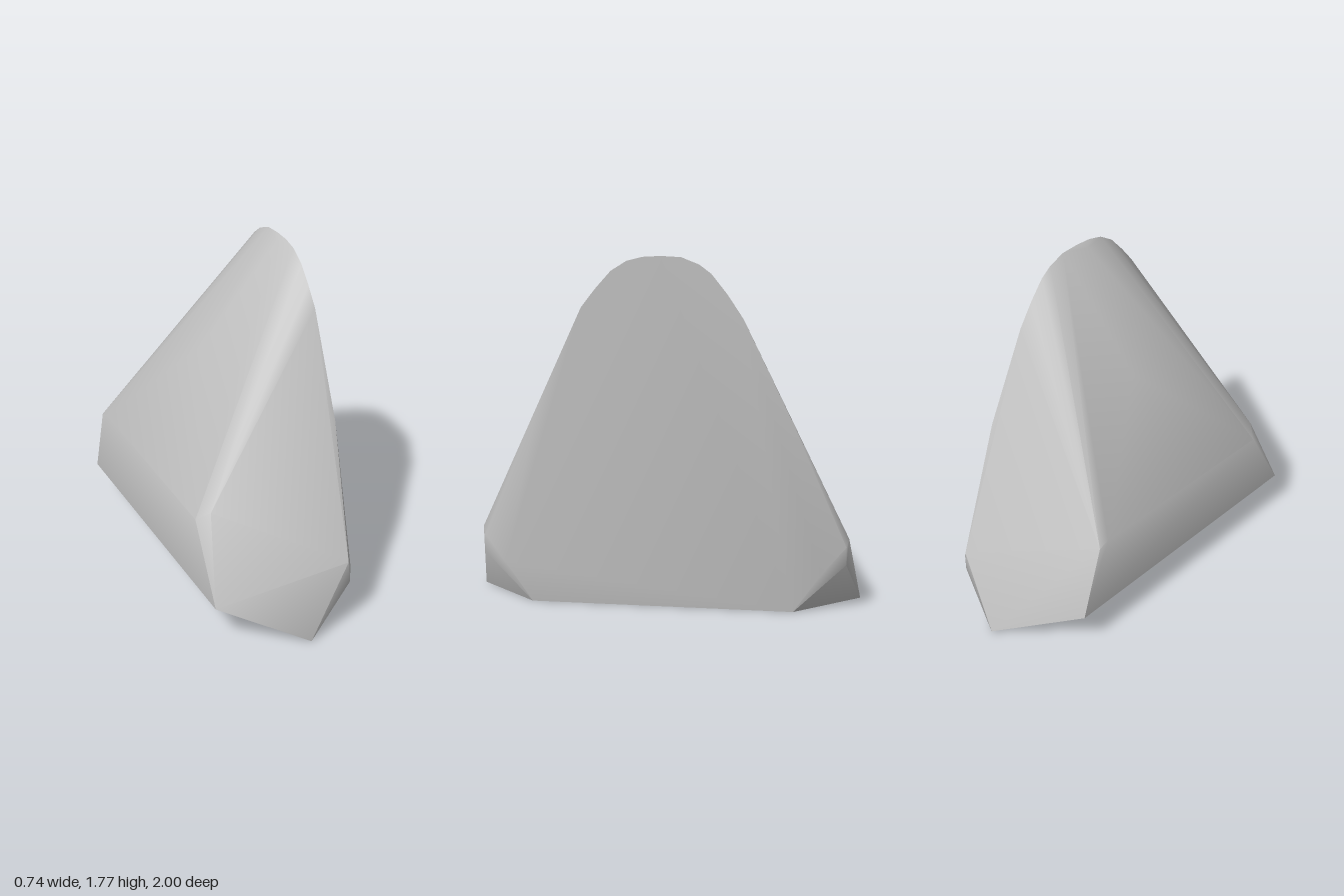
import * as THREE from 'three';
import { toCreasedNormals } from 'three/addons/utils/BufferGeometryUtils.js';
import { ConvexGeometry } from 'three/addons/geometries/ConvexGeometry.js';

export function createModel() {
  const stone = new THREE.MeshStandardMaterial({ color: 0xc0c0c0 });
  const points = [];
  const add = (x, y, z) => points.push(new THREE.Vector3(x, y, z));

  // Arched outline of the flat right-hand face, as [z, y]
  const arch = [
    [0.64, 1.0], [0.4, 1.52], [0.33, 1.61], [0.25, 1.7], [0.17, 1.75], [0.09, 1.77], [0, 1.775],
    [-0.1, 1.77], [-0.19, 1.735], [-0.25, 1.69], [-0.33, 1.59], [-0.41, 1.47], [-0.64, 1.0],
  ];
  for (const [z, y] of arch) add(0.37, y, z);

  // Base and bevelled corners, mirrored front to back
  for (const s of [1, -1]) {
    add(0.37, 0, 0.67 * s);
    add(0.37, 0.2, 0.81 * s);
    add(0.07, 0, s);
    add(0.32, 0.24, 0.93 * s);
    add(0.32, 0.33, 0.93 * s);
    add(0.3, 0.37, 0.942 * s);
  }

  // Small flat left-hand face
  add(-0.37, 0.21, 0.81);
  add(-0.37, 0.6, 0.58);
  add(-0.37, 0.62, -0.57);
  add(-0.37, 0.6, -0.63);
  add(-0.37, 0.21, -0.75);

  // Peaks of the sloping upper side
  add(-0.31, 0.65, 0.63);
  add(-0.05, 1.2, -0.04);
  add(0.34, 1.75, 0.05);

  const rock = new THREE.Mesh(toCreasedNormals(new ConvexGeometry(points), 0.7), stone);
  rock.name = 'rock';
  const group = new THREE.Group();
  group.name = 'boulder';
  group.add(rock);
  return group;
}
